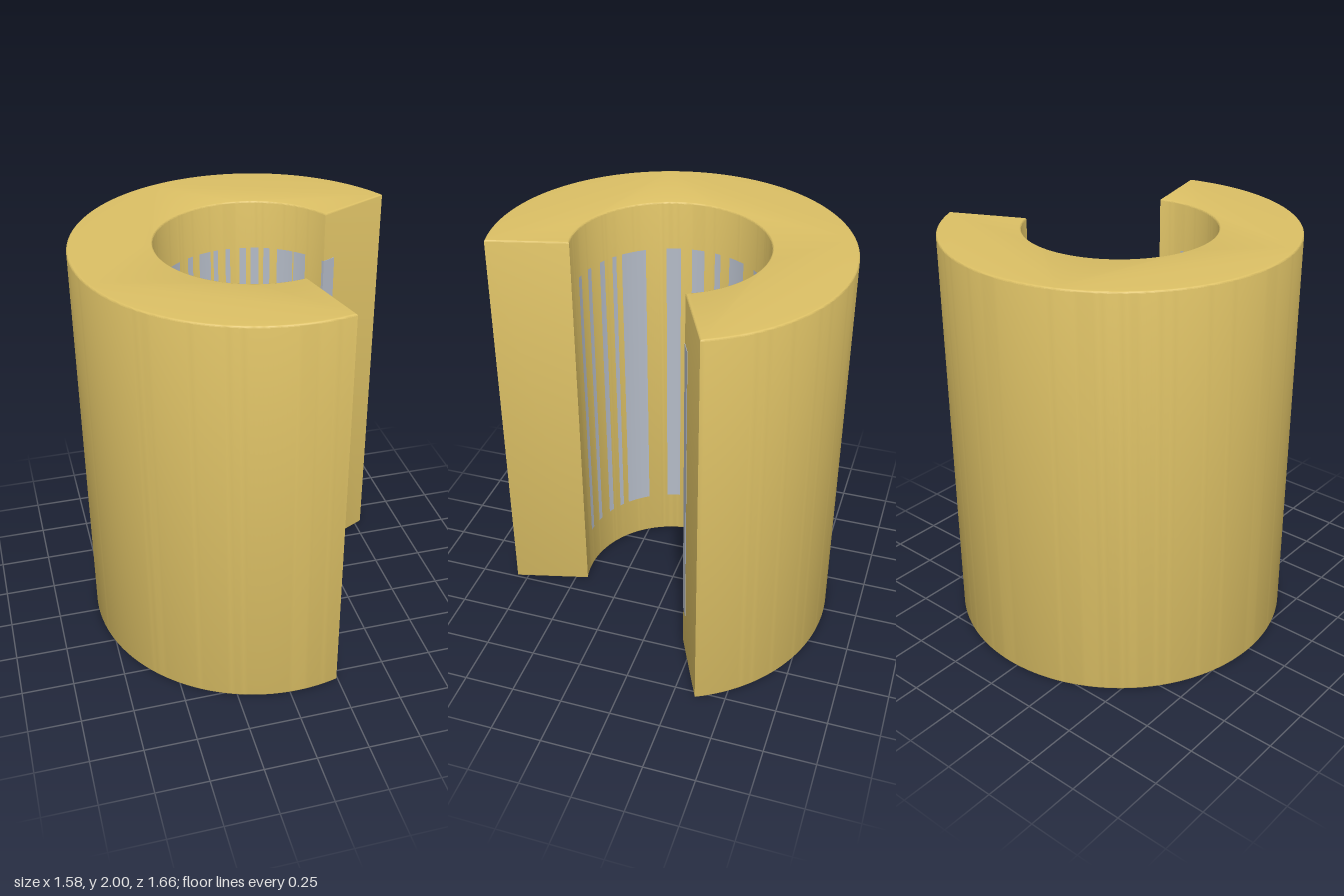
import * as THREE from 'three';
import { toCreasedNormals } from 'three/addons/utils/BufferGeometryUtils.js';

const RAD = Math.PI / 180;
const OUTER = 0.831, INNER = 0.45, HEIGHT = 2, BEVEL = 0.008;
// Angles run from +x towards the back (-z)
const START = 25.5, END = 284.4;
const STRIPE_BOTTOM = 0.24, STRIPE_TOP = 1.76;

// Angular spans of the stripes inside the bore, in degrees
const STRIPES = [
  [25.5, 27], [40, 48.2], [49, 59.3], [64, 68], [71, 76], [79, 83], [89, 92],
  [97, 100], [102, 110], [115, 119], [126, 137], [147, 158.5], [165, 169],
  [176, 184], [191, 200], [213, 229], [233, 236], [242, 246], [254, 257.5], [265, 269],
];

export function createModel() {
  const model = new THREE.Group();
  model.name = 'splitSleeve';
  const gold = new THREE.MeshStandardMaterial({ color: 0xdcc065 });
  const silver = new THREE.MeshStandardMaterial({ color: 0xb4bbc7, side: THREE.DoubleSide });

  // Thick C-shaped wall with softened top and bottom rims
  const section = new THREE.Shape();
  section.absarc(0, 0, OUTER, START * RAD, END * RAD, false);
  section.absarc(0, 0, INNER, END * RAD, START * RAD, true);
  section.closePath();
  const wallGeometry = new THREE.ExtrudeGeometry(section, {
    depth: HEIGHT - 2 * BEVEL, curveSegments: 96,
    bevelEnabled: true, bevelThickness: BEVEL, bevelSize: BEVEL, bevelOffset: -BEVEL, bevelSegments: 3,
  });
  wallGeometry.translate(0, 0, BEVEL).rotateX(-Math.PI / 2);
  const wall = new THREE.Mesh(toCreasedNormals(wallGeometry, 35 * RAD), gold);
  wall.name = 'sleeveWall';
  model.add(wall);

  // Vertical stripes lying on the bore
  const stripeHeight = STRIPE_TOP - STRIPE_BOTTOM;
  const stripeY = (STRIPE_TOP + STRIPE_BOTTOM) / 2;
  const stripes = new THREE.Group();
  stripes.name = 'boreStripes';
  for (const [from, to] of STRIPES) {
    const geometry = new THREE.CylinderGeometry(
      INNER - 0.002, INNER - 0.002, stripeHeight, Math.ceil((to - from) / 2), 1, true,
      (from + 90) * RAD, (to - from) * RAD);
    const stripe = new THREE.Mesh(geometry, silver);
    stripe.name = 'boreStripe';
    stripe.position.y = stripeY;
    stripes.add(stripe);
  }
  model.add(stripes);

  // Stripe showing on the cut face at the back end
  const endStripe = new THREE.Mesh(new THREE.BoxGeometry(0.07, stripeHeight, 0.004), silver);
  endStripe.name = 'endStripe';
  const r = INNER + 0.033, a = START * RAD;
  endStripe.position.set(r * Math.cos(a), stripeY, -r * Math.sin(a));
  endStripe.rotation.y = a;
  model.add(endStripe);

  model.position.x = 0.036;
  return model;
}
